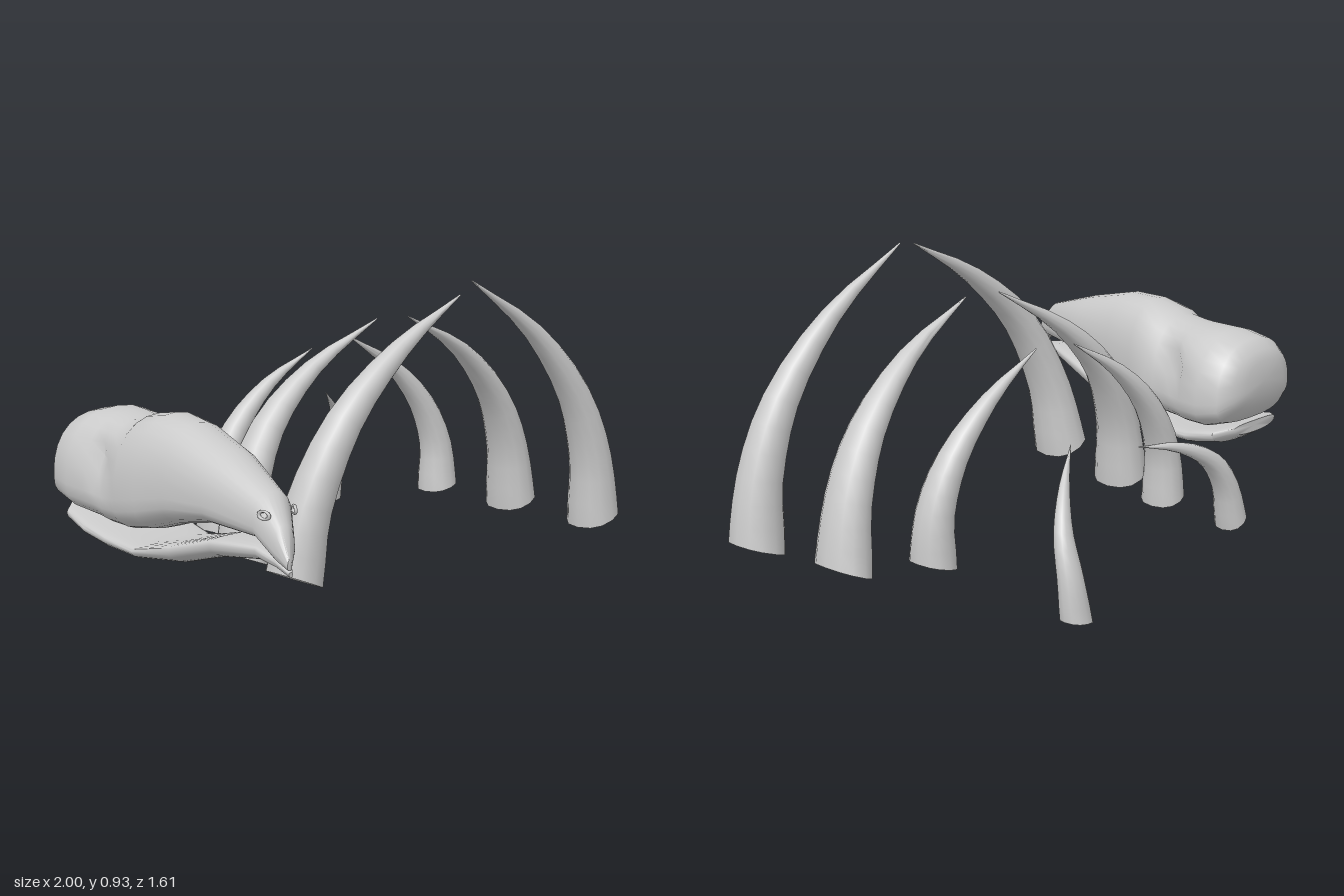
import * as THREE from 'three';
import { toCreasedNormals } from 'three/addons/utils/BufferGeometryUtils.js';

const material = new THREE.MeshStandardMaterial({ color: 0xcccccc, side: THREE.DoubleSide });

// Skin a list of equal-length rings and close both ends
function loft(rings, crease = 0.75) {
  const n = rings[0].length, last = (rings.length - 1) * n;
  const points = rings.flat(), index = [];
  for (let i = 0; i < rings.length - 1; i++) {
    for (let j = 0; j < n; j++) {
      const k = (j + 1) % n, a = i * n + j, b = i * n + k;
      index.push(a, b, b + n, a, b + n, a + n);
    }
  }
  const centre = (ring) => ring.reduce((s, p) => s.add(p), new THREE.Vector3()).divideScalar(n);
  const c0 = points.length, c1 = c0 + 1;
  points.push(centre(rings[0]), centre(rings[rings.length - 1]));
  for (let j = 0; j < n; j++) {
    const k = (j + 1) % n;
    index.push(c0, k, j, c1, last + j, last + k);
  }
  const geometry = new THREE.BufferGeometry().setFromPoints(points);
  geometry.setIndex(index);
  return toCreasedNormals(geometry, crease);
}

function addMesh(group, name, geometry) {
  const mesh = new THREE.Mesh(geometry, material);
  mesh.name = name;
  group.add(mesh);
  return mesh;
}

const power = (v, e) => Math.sign(v) * Math.abs(v) ** e;

// Curved rib: path from base to tip, half thickness across and along z at the base
function rib(path, thick, wide) {
  const curve = new THREE.CatmullRomCurve3(path.map((p) => new THREE.Vector3(...p)));
  const inward = Math.sign(path[4][0] - path[0][0]);
  const steps = 12, sides = 12, rings = [];
  for (let i = 0; i <= steps; i++) {
    const t = i / steps, p = curve.getPoint(t), d = curve.getTangent(t);
    const foot = Math.max(0, 1 - t / 0.2);
    const angle = Math.atan2(d.y, d.x) - inward * 0.22 * foot;
    const size = Math.max(0.03, 0.94 * (1 - t ** 1.8) + 0.12 * foot);
    const ring = [];
    for (let j = 0; j < sides; j++) {
      const a = (j / sides) * Math.PI * 2;
      const u = power(Math.cos(a), 0.85) * thick * size;
      const v = power(Math.sin(a), 0.85) * wide * size;
      ring.push(new THREE.Vector3(p.x + Math.sin(angle) * u, p.y - Math.cos(angle) * u, p.z + v));
    }
    rings.push(ring);
  }
  return loft(rings);
}

// Cross-sections [z, xMin, xMax, yTop, yBottom]; widest point sits at a fraction of the height
function sectionLoft(sections, waist, topPower, bottomPower, shape) {
  const sides = 28;
  return loft([...sections].reverse().map(([z, x0, x1, top, bottom]) => {
    const cx = (x0 + x1) / 2, w = (x1 - x0) / 2, cy = bottom + (top - bottom) * waist;
    return Array.from({ length: sides }, (_, j) => {
      const a = (j / sides) * Math.PI * 2, s = Math.sin(a), c = Math.cos(a);
      const e = s >= 0 ? topPower : bottomPower;
      const p = new THREE.Vector3(cx + power(c, e) * w, cy + power(s, e) * (s >= 0 ? top - cy : cy - bottom), z);
      if (shape) shape(p, cx, w);
      return p;
    });
  }), 0.9);
}

export function createModel() {
  const model = new THREE.Group();
  model.name = 'skeletonRemains';

  // Skull with long tapering beak
  const skull = new THREE.Group();
  skull.name = 'skull';
  model.add(skull);
  const upper = [
    [0.8, -1.0, -0.985, 0.33, 0.3],
    [0.74, -0.995, -0.92, 0.41, 0.31],
    [0.64, -0.985, -0.84, 0.48, 0.355],
    [0.4, -0.97, -0.73, 0.555, 0.35],
    [0.2, -0.955, -0.67, 0.605, 0.31],
    [0.05, -0.94, -0.615, 0.613, 0.265],
    [-0.06, -0.932, -0.572, 0.595, 0.245],
    [-0.09, -0.922, -0.58, 0.578, 0.245],
    [-0.15, -0.918, -0.56, 0.572, 0.245],
    [-0.2, -0.912, -0.535, 0.572, 0.25],
    [-0.26, -0.905, -0.51, 0.575, 0.25],
    [-0.35, -0.9, -0.487, 0.577, 0.255],
    [-0.43, -0.89, -0.5, 0.56, 0.28],
    [-0.465, -0.86, -0.545, 0.525, 0.33],
    [-0.48, -0.81, -0.6, 0.49, 0.37],
  ];
  // Shallow eye sockets pressed into both sides of the head
  const sockets = (p, cx, w) => {
    const dent = Math.exp(-(((p.z + 0.19) / 0.05) ** 2) - ((p.y - 0.45) / 0.06) ** 2);
    p.x -= ((p.x - cx) / w) * 0.045 * dent;
  };
  addMesh(skull, 'upperBeak', sectionLoft(upper, 0.3, 0.85, 0.7, sockets));

  const lower = [
    [0.77, -0.968, -0.955, 0.285, 0.27],
    [0.7, -0.96, -0.9, 0.312, 0.28],
    [0.61, -0.952, -0.85, 0.328, 0.285],
    [0.4, -0.942, -0.745, 0.312, 0.248],
    [0.2, -0.932, -0.68, 0.26, 0.192],
    [0, -0.915, -0.61, 0.215, 0.165],
    [-0.15, -0.905, -0.565, 0.225, 0.168],
    [-0.28, -0.89, -0.525, 0.24, 0.18],
    [-0.4, -0.865, -0.52, 0.265, 0.205],
    [-0.45, -0.81, -0.58, 0.275, 0.235],
  ];
  addMesh(skull, 'lowerJaw', sectionLoft(lower, 0.7, 0.6, 0.85));

  // Nostril rims near the beak tip
  for (const [name, x, yaw] of [['rightNostril', -0.978, -1.4], ['leftNostril', -0.868, 1.05]]) {
    const rim = addMesh(skull, name, new THREE.TorusGeometry(0.014, 0.005, 6, 14));
    rim.position.set(x, 0.43, 0.68);
    rim.rotation.y = yaw;
    rim.scale.set(1.3, 0.8, 1);
  }

  // Ribs, front to back on each side
  const ribs = new THREE.Group();
  ribs.name = 'ribs';
  model.add(ribs);
  const add = (name, thick, wide, ...path) => addMesh(ribs, name, rib(path, thick, wide));

  add('rightRib1', 0.078, 0.09, [-0.5, 0.09, 0.265], [-0.46, 0.31, 0.285],
    [-0.335, 0.56, 0.31], [-0.1, 0.765, 0.315], [0.175, 0.914, 0.312]);
  add('rightRib2', 0.07, 0.09, [-0.4, 0.075, -0.1], [-0.37, 0.27, -0.11],
    [-0.265, 0.48, -0.125], [-0.08, 0.66, -0.11], [0.166, 0.807, -0.06]);
  add('rightRib3', 0.056, 0.07, [-0.27, 0.09, -0.39], [-0.255, 0.26, -0.395],
    [-0.17, 0.43, -0.4], [-0.03, 0.575, -0.385], [0.137, 0.682, -0.35]);
  add('rightRib4', 0.045, 0.05, [-0.262, 0.08, -0.675], [-0.225, 0.21, -0.675],
    [-0.155, 0.305, -0.668], [-0.03, 0.37, -0.645], [0.125, 0.4, -0.605]);

  add('leftRib1', 0.08, 0.086, [0.915, 0.07, 0.268], [0.89, 0.29, 0.272],
    [0.8, 0.52, 0.268], [0.6, 0.755, 0.252], [0.31, 0.945, 0.238]);
  add('leftRib2', 0.07, 0.092, [0.885, 0.08, -0.095], [0.85, 0.29, -0.085],
    [0.755, 0.485, -0.07], [0.56, 0.67, -0.05], [0.285, 0.807, -0.03]);
  add('leftRib3', 0.062, 0.07, [0.74, 0.12, -0.33], [0.735, 0.28, -0.335],
    [0.67, 0.435, -0.345], [0.53, 0.585, -0.36], [0.328, 0.705, -0.365]);
  add('leftRib4', 0.047, 0.042, [0.595, 0.02, -0.765], [0.605, 0.15, -0.75],
    [0.59, 0.27, -0.71], [0.525, 0.38, -0.655], [0.42, 0.47, -0.587]);

  return model;
}
